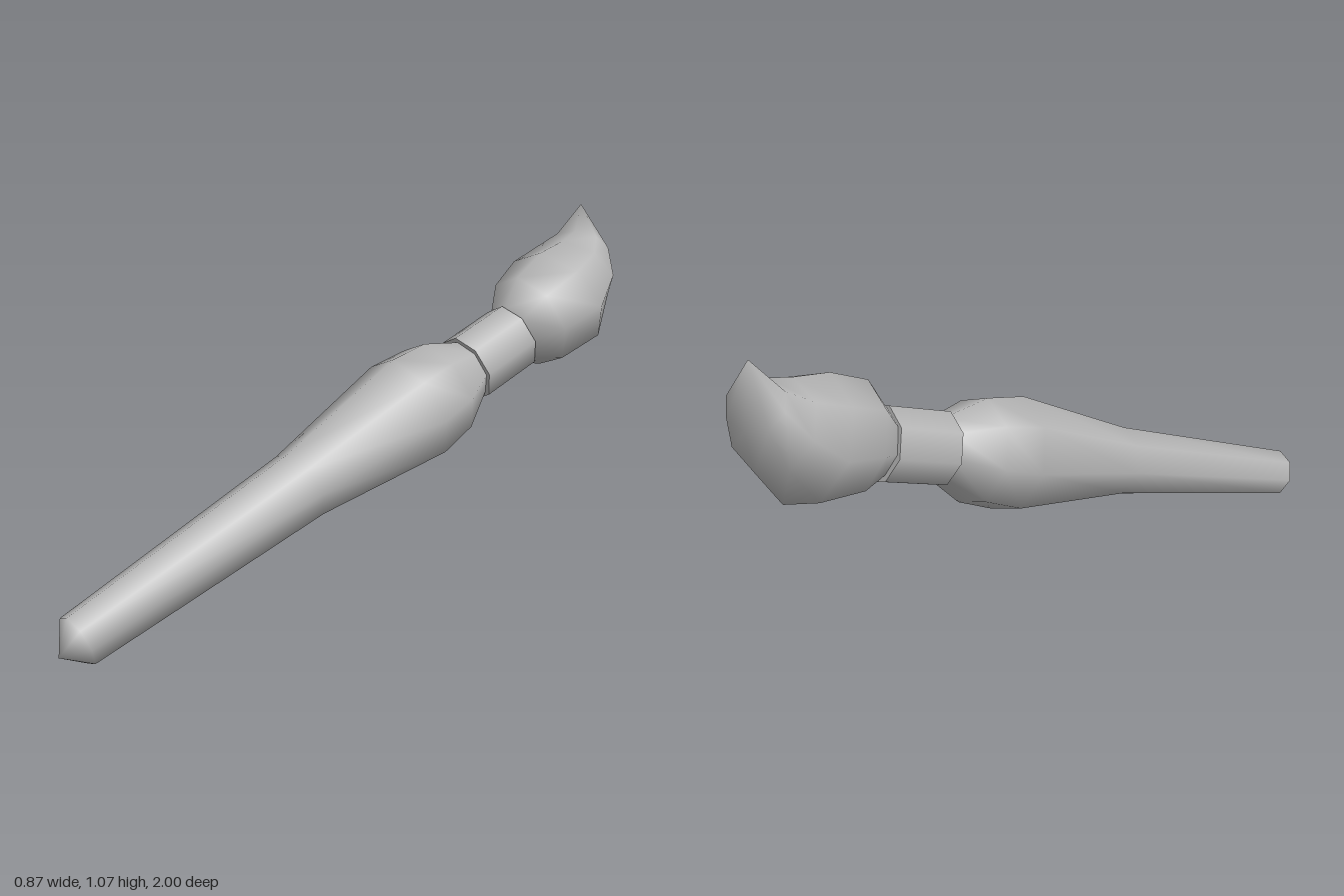
import * as THREE from 'three';
import { mergeVertices } from 'three/addons/utils/BufferGeometryUtils.js';

const SIDES = 8;
const START = new THREE.Vector3(-0.36, 0.078, 0.945);
const AXIS = new THREE.Vector3(0.322, 0.353, -0.878).normalize();
const along = (t) => START.clone().addScaledVector(AXIS, t);

// Smooth skin through rings of { c: centre, n: direction, rx, ry }
function loft(rings) {
  const pos = [], index = [];
  const up = new THREE.Vector3(0, 1, 0);
  rings.forEach(({ c, n, rx, ry }) => {
    const u = new THREE.Vector3().crossVectors(n, up).normalize();
    const v = new THREE.Vector3().crossVectors(u, n).normalize();
    for (let j = 0; j < SIDES; j++) {
      const a = (j / SIDES) * Math.PI * 2;
      const p = c.clone()
        .addScaledVector(u, Math.cos(a) * rx)
        .addScaledVector(v, Math.sin(a) * ry);
      pos.push(p.x, p.y, p.z);
    }
  });
  for (let i = 0; i < rings.length - 1; i++) {
    for (let j = 0; j < SIDES; j++) {
      const a = i * SIDES + j, b = i * SIDES + (j + 1) % SIDES;
      index.push(a, a + SIDES, b, b, a + SIDES, b + SIDES);
    }
  }
  let geo = new THREE.BufferGeometry();
  geo.setAttribute('position', new THREE.Float32BufferAttribute(pos, 3));
  geo.setIndex(index);
  geo = mergeVertices(geo, 1e-4);
  geo.computeVertexNormals();
  return geo;
}

export function createModel() {
  const group = new THREE.Group();
  group.name = 'paintbrush';
  const grey = new THREE.MeshStandardMaterial({ color: 0xb4b4b4, side: THREE.DoubleSide });
  grey.name = 'plain grey';
  const add = (name, geo) => {
    const mesh = new THREE.Mesh(geo, grey);
    mesh.name = name;
    group.add(mesh);
    return mesh;
  };

  // Handle: slim rounded end, swelling towards the collar
  const handle = [[0, 0.08], [0.8, 0.112], [1.25, 0.178], [1.38, 0.162], [1.52, 0.09]]
    .map(([t, r]) => ({ c: along(t), n: AXIS, rx: r, ry: r }));
  handle.unshift({ c: new THREE.Vector3(-0.38, 0.045, 1.0), n: AXIS, rx: 0, ry: 0 });
  add('handle', loft(handle));

  // Collar joining handle and bristles
  const collar = add('collar', new THREE.CylinderGeometry(0.113, 0.113, 0.215, SIDES));
  collar.geometry.rotateY(Math.PI / 8);
  collar.quaternion.setFromUnitVectors(new THREE.Vector3(0, 1, 0), AXIS);
  collar.position.copy(along(1.612));

  // Bristles: plump body curling up to a point
  const bristles = [
    // centre, direction, half width, half height
    [[0.195, 0.69, -0.565], [0.32, 0.35, -0.88], 0.1, 0.1],
    [[0.225, 0.728, -0.63], [0.32, 0.35, -0.88], 0.165, 0.162],
    [[0.25, 0.78, -0.79], [0.22, 0.49, -0.87], 0.188, 0.186],
    [[0.262, 0.86, -0.895], [0.1, 0.57, -0.82], 0.155, 0.131],
    [[0.265, 0.937, -0.948], [0, 0.67, -0.74], 0.1, 0.075],
    [[0.25, 1.073, -0.975], [0, 0.9, -0.4], 0, 0],
  ].map(([c, n, rx, ry]) => ({
    c: new THREE.Vector3(...c), n: new THREE.Vector3(...n).normalize(), rx, ry,
  }));
  add('bristles', loft(bristles));

  return group;
}
